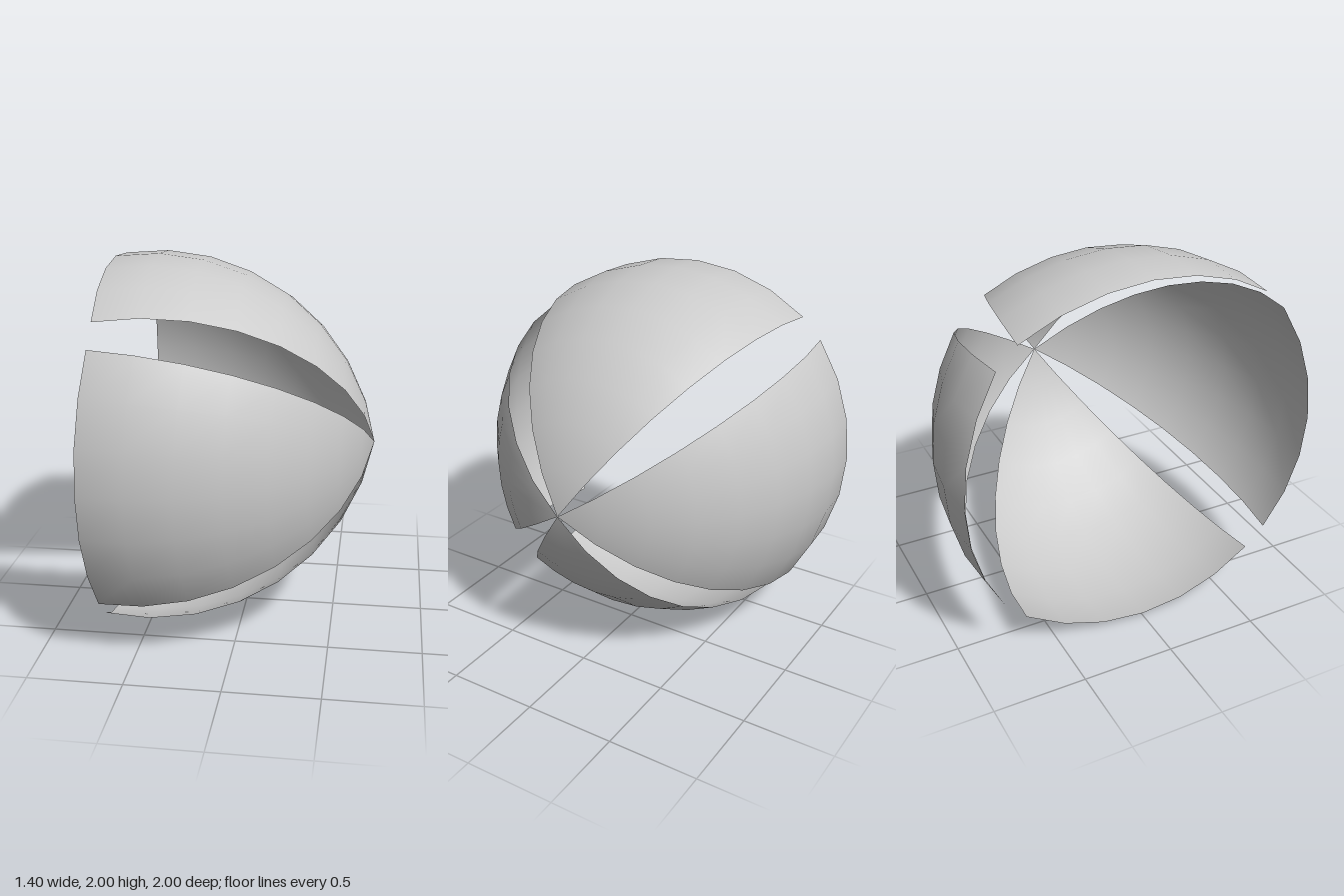
import * as THREE from 'three';

const TILT = THREE.MathUtils.degToRad(10);      // how far each petal closes inwards
const SPREAD = THREE.MathUtils.degToRad(67.5);  // angular width of a petal
const RADIUS = 1 / (1 - Math.sin(TILT));        // sphere each petal is cut from
const TIP_X = 0.7;

// One petal: a gore of a hemisphere, tip at the origin, tip pointing +x, facing +z
function petalGeometry() {
  const geo = new THREE.SphereGeometry(
    RADIUS, 6, 8, Math.PI / 2 - SPREAD / 2, SPREAD, 0, Math.PI / 2);
  geo.translate(0, -RADIUS, 0);
  geo.rotateZ(-Math.PI / 2);
  geo.rotateY(-TILT);
  return geo;
}

export function createModel() {
  const group = new THREE.Group();
  group.name = 'petalShell';
  const material = new THREE.MeshStandardMaterial({ color: 0xcccccc, side: THREE.DoubleSide });
  const geometry = petalGeometry();

  // Four petals around the x axis, sharing the tip
  ['frontPetal', 'bottomPetal', 'backPetal', 'topPetal'].forEach((name, i) => {
    const petal = new THREE.Mesh(geometry, material);
    petal.name = name;
    petal.rotation.x = i * Math.PI / 2;
    petal.position.set(TIP_X, 1, 0);
    group.add(petal);
  });
  return group;
}
